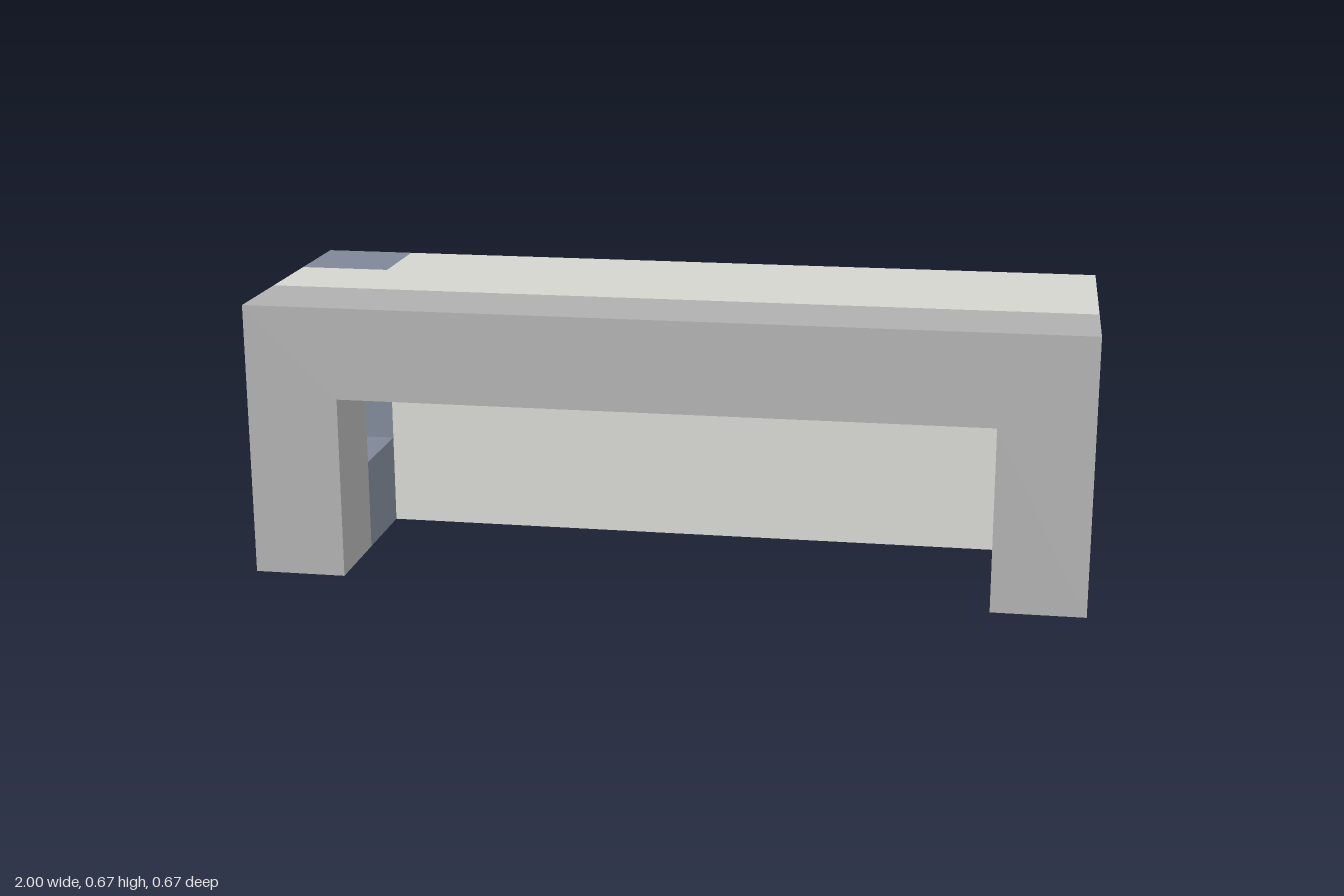
import * as THREE from 'three';

const U = 2 / 9; // block unit: the bench is 9 x 3 x 3 units

const material = (color) => new THREE.MeshStandardMaterial({ color, flatShading: true });

export function createModel() {
  const group = new THREE.Group();
  const pale = material(0xd6d7d1);
  const grey = material(0xb1b1b1);
  const blue = material(0x808999);

  const add = (name, geometry, mat, x, y, z) => {
    const mesh = new THREE.Mesh(geometry, mat);
    mesh.name = name;
    mesh.position.set(x * U, y * U, z * U);
    group.add(mesh);
  };
  const box = (w, h, d) => new THREE.BoxGeometry(w * U, h * U, d * U);

  // Upright slab one unit thick, from an outline in units
  const slab = (points) => new THREE.ExtrudeGeometry(
    new THREE.Shape(points.map(([x, y]) => new THREE.Vector2(x * U, y * U))),
    { depth: U, bevelEnabled: false });

  // Front frame, open at the bottom between its two legs
  add('frontFrame', slab([
    [-4.5, 0], [-3.5, 0], [-3.5, 2], [3.5, 2], [3.5, 0], [4.5, 0], [4.5, 3], [-4.5, 3],
  ]), grey, 0, 0, 0.5);

  // Back wall, notched to receive the corner block
  add('backWall', slab([
    [-4.5, 0], [4.5, 0], [4.5, 3], [-3.5, 3], [-3.5, 1], [-4.5, 1],
  ]), pale, 0, 0, -1.5);
  add('cornerBlock', box(1, 2, 1), blue, -4, 2, -1);

  // Top beam joining front and back
  add('topBeam', box(9, 1, 1), pale, 0, 2.5, 0);

  // Low blocks under the end windows
  for (const side of [-1, 1]) {
    add(side < 0 ? 'rightEndBlock' : 'leftEndBlock', box(1, 1, 1), blue, side * 4, 0.5, 0);
  }

  return group;
}
